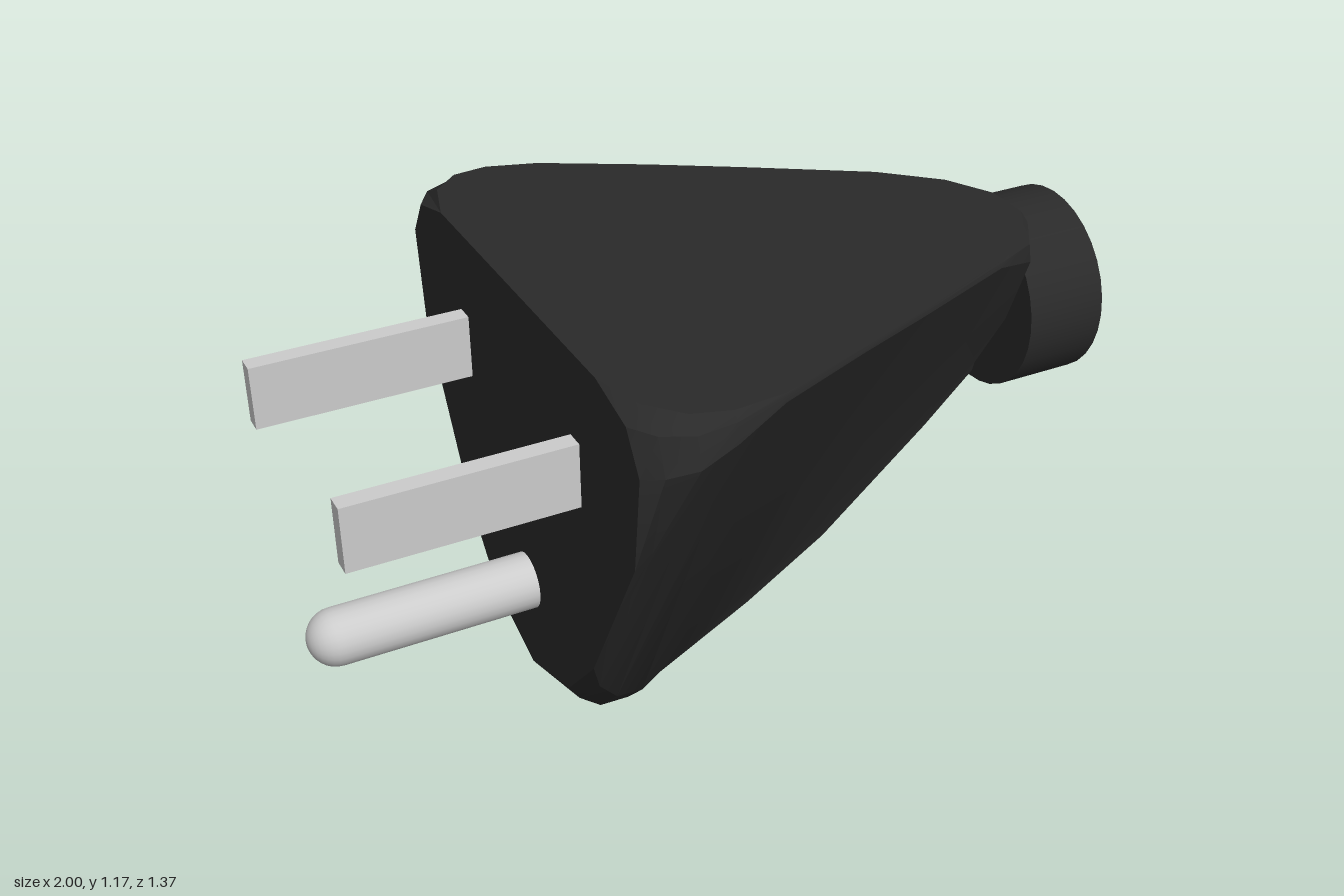
import * as THREE from 'three';
import { toCreasedNormals } from 'three/addons/utils/BufferGeometryUtils.js';

const black = new THREE.MeshStandardMaterial({ color: 0x2a2a2a });
const metal = new THREE.MeshStandardMaterial({ color: 0xcccccc });

// Cross-sections of the grip along x:
// x, top y, flat half-width, shoulder z/y, side z/y, lower side z/y, bottom y
const SECTIONS = [
  [-0.45, 1.17, 0.43, 0.63, 1.04, 0.60, 0.80, 0.37, 0.38, 0.14],
  [-0.41, 1.167, 0.56, 0.665, 1.05, 0.60, 0.83, 0.31, 0.27, 0.085],
  [-0.34, 1.163, 0.63, 0.684, 1.06, 0.60, 0.87, 0.25, 0.17, 0.02],
  [-0.25, 1.158, 0.65, 0.672, 1.09, 0.575, 0.90, 0.20, 0.12, 0.0],
  [-0.12, 1.15, 0.628, 0.632, 1.13, 0.50, 0.87, 0.13, 0.13, 0.025],
  [0.13, 1.137, 0.522, 0.524, 1.125, 0.38, 0.84, 0.06, 0.21, 0.115],
  [0.35, 1.125, 0.42, 0.423, 1.11, 0.29, 0.84, 0.05, 0.34, 0.25],
  [0.65, 1.108, 0.275, 0.28, 1.09, 0.17, 0.85, 0.03, 0.56, 0.50],
  [0.79, 1.10, 0.17, 0.205, 1.04, 0.13, 0.85, 0.02, 0.67, 0.63],
  [0.86, 1.095, 0.06, 0.10, 1.04, 0.07, 0.87, 0.02, 0.75, 0.72],
];

// Full mirrored ring of one section, from the top round by +z
function ring([x, yt, tw, sz, sy, mz, my, lz, ly, yb]) {
  const half = [
    [tw, yt],
    [tw + 0.707 * (sz - tw), sy + 0.707 * (yt - sy)],
    [sz, sy], [mz, my], [lz, ly],
    [lz * 0.6, ly + (yb - ly) * 0.68],
  ];
  const mirrored = half.map(([z, y]) => [-z, y]).reverse();
  return [[0, yt], ...half, [0, yb], ...mirrored].map(([z, y]) => [x, y, z]);
}

function gripGeometry() {
  const rings = SECTIONS.map(ring);
  const n = rings[0].length;
  const index = [];
  for (let r = 0; r < rings.length - 1; r++) {
    for (let i = 0; i < n; i++) {
      const a = r * n + i, b = r * n + (i + 1) % n;
      index.push(a, b, a + n, b, b + n, a + n);
    }
  }
  // flat end caps
  const last = (rings.length - 1) * n;
  for (let i = 1; i < n - 1; i++) {
    index.push(0, i + 1, i);
    index.push(last, last + i, last + i + 1);
  }
  const geo = new THREE.BufferGeometry();
  geo.setAttribute('position', new THREE.Float32BufferAttribute(rings.flat(2), 3));
  geo.setIndex(index);
  return toCreasedNormals(geo, 0.45);
}

export function createModel() {
  const group = new THREE.Group();
  const add = (name, geo, mat, x, y, z) => {
    const mesh = new THREE.Mesh(geo, mat);
    mesh.name = name;
    mesh.position.set(x, y, z);
    group.add(mesh);
    return mesh;
  };

  // tapered triangular body
  add('grip', gripGeometry(), black, 0, 0, 0);

  // round cable collar
  const collar = new THREE.CylinderGeometry(0.235, 0.235, 0.21, 32).rotateZ(-Math.PI / 2);
  add('cableCollar', collar, black, 0.895, 0.86, 0);

  // two flat blades
  for (const side of [1, -1]) {
    add(side > 0 ? 'leftBlade' : 'rightBlade',
      new THREE.BoxGeometry(0.56, 0.16, 0.045), metal, -0.7, 0.88, side * 0.314);
  }

  // round-ended earth pin
  const pin = new THREE.CapsuleGeometry(0.07, 0.5, 8, 24).rotateZ(Math.PI / 2);
  add('earthPin', pin, metal, -0.68, 0.388, 0);

  return group;
}
